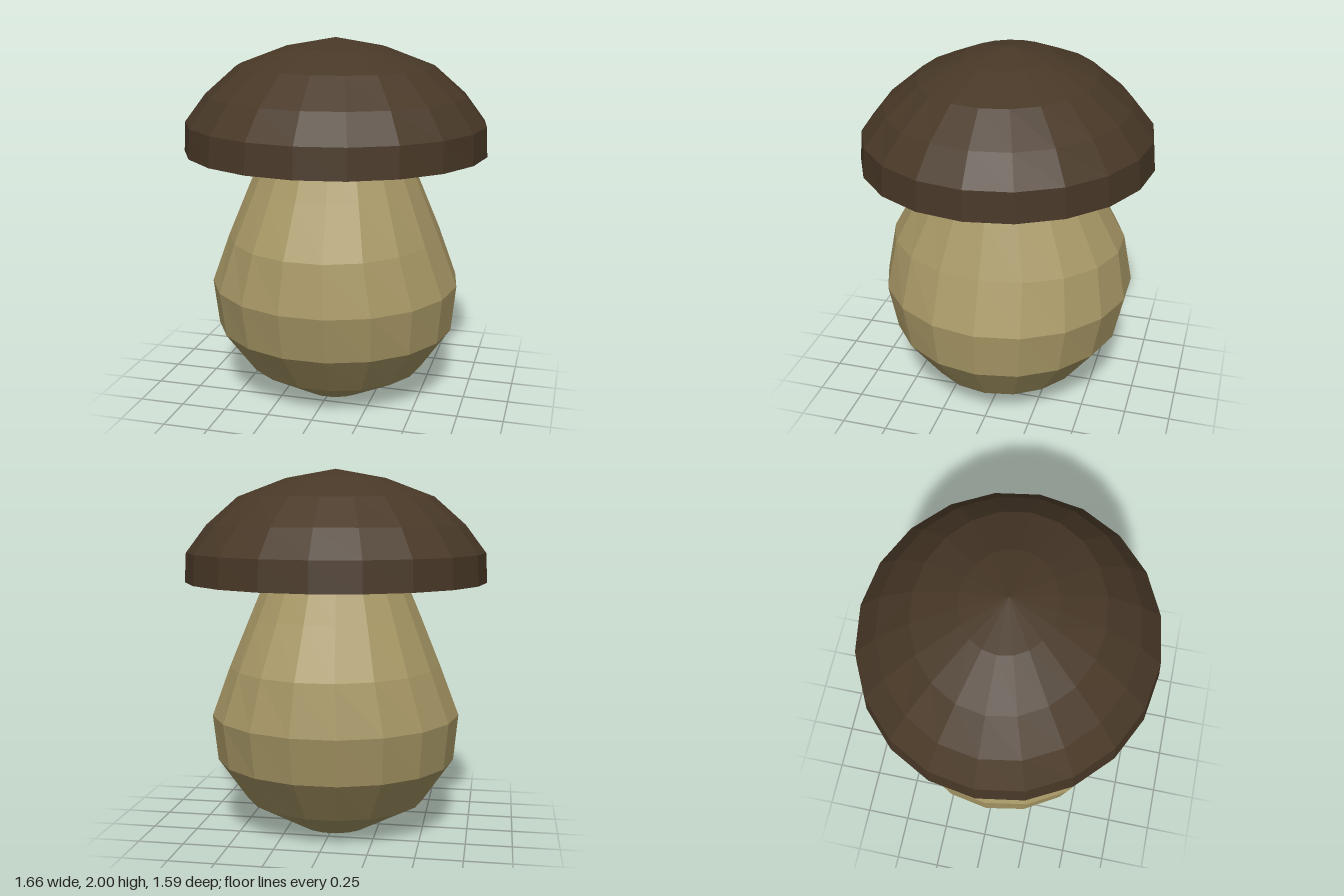
import * as THREE from 'three';

const brown = new THREE.MeshStandardMaterial({ color: 0x483827 });
brown.name = 'capBrown';
const tan = new THREE.MeshStandardMaterial({ color: 0xa89866 });
tan.name = 'stemTan';
const cream = new THREE.MeshStandardMaterial({ color: 0xdccb9c });
cream.name = 'gillCream';

// Faceted skin over stacked elliptical rings [rx, rz, y, lobe]
function ringMesh(name, rings, sides, material) {
  const point = ([rx, rz, y, lobe = 0], j) => {
    const a = (j % sides) / sides * Math.PI * 2;
    const bulge = -lobe * Math.cos(4 * a);
    return [(rx + bulge) * Math.cos(a), y, (rz + bulge) * Math.sin(a)];
  };
  const pos = [];
  for (let i = 0; i < rings.length - 1; i++) {
    const low = rings[i], high = rings[i + 1];
    for (let j = 0; j < sides; j++) {
      const a = point(low, j), b = point(high, j), c = point(high, j + 1), d = point(low, j + 1);
      if (high[0] > 0) pos.push(...a, ...b, ...c);
      if (low[0] > 0) pos.push(...a, ...c, ...d);
    }
  }
  const geo = new THREE.BufferGeometry();
  geo.setAttribute('position', new THREE.Float32BufferAttribute(pos, 3));
  geo.computeVertexNormals();
  const mesh = new THREE.Mesh(geo, material);
  mesh.name = name;
  return mesh;
}

export function createModel() {
  const group = new THREE.Group();
  group.name = 'mushroom';

  // Bulbous stem, closed below and running up into the cap
  group.add(ringMesh('stem', [
    [0, 0, 0], [0.2, 0.2, 0], [0.5, 0.46, 0.16], [0.665, 0.645, 0.4], [0.69, 0.7, 0.655],
    [0.585, 0.65, 0.93], [0.475, 0.5, 1.2], [0.395, 0.405, 1.39], [0.36, 0.36, 1.52], [0.36, 0.36, 1.7],
  ], 18, tan));

  // Hollow underside shared by the cap and the gills
  const hollow = [[0.4, 0.4, 1.62], [0.6, 0.575, 1.56], [0.72, 0.69, 1.48], [0.76, 0.725, 1.39]];

  // Domed cap with a flat rim
  group.add(ringMesh('cap', [
    ...hollow,
    [0.83, 0.793, 1.39], [0.822, 0.778, 1.55], [0.71, 0.658, 1.7],
    [0.54, 0.475, 1.85], [0.275, 0.24, 1.95], [0, 0, 2],
  ], 20, brown));

  // Pale gills with a lobed collar; the cap shows through at the corners
  group.add(ringMesh('gills', [
    [0.39, 0.39, 1.36, 0.035], [0.385, 0.385, 1.46, 0.03],
    ...hollow.slice(0, 3).map(([x, z, y]) => [x * 1.015, z * 1.015, y]),
    [0.757, 0.722, 1.42],
  ], 10, cream));

  return group;
}
